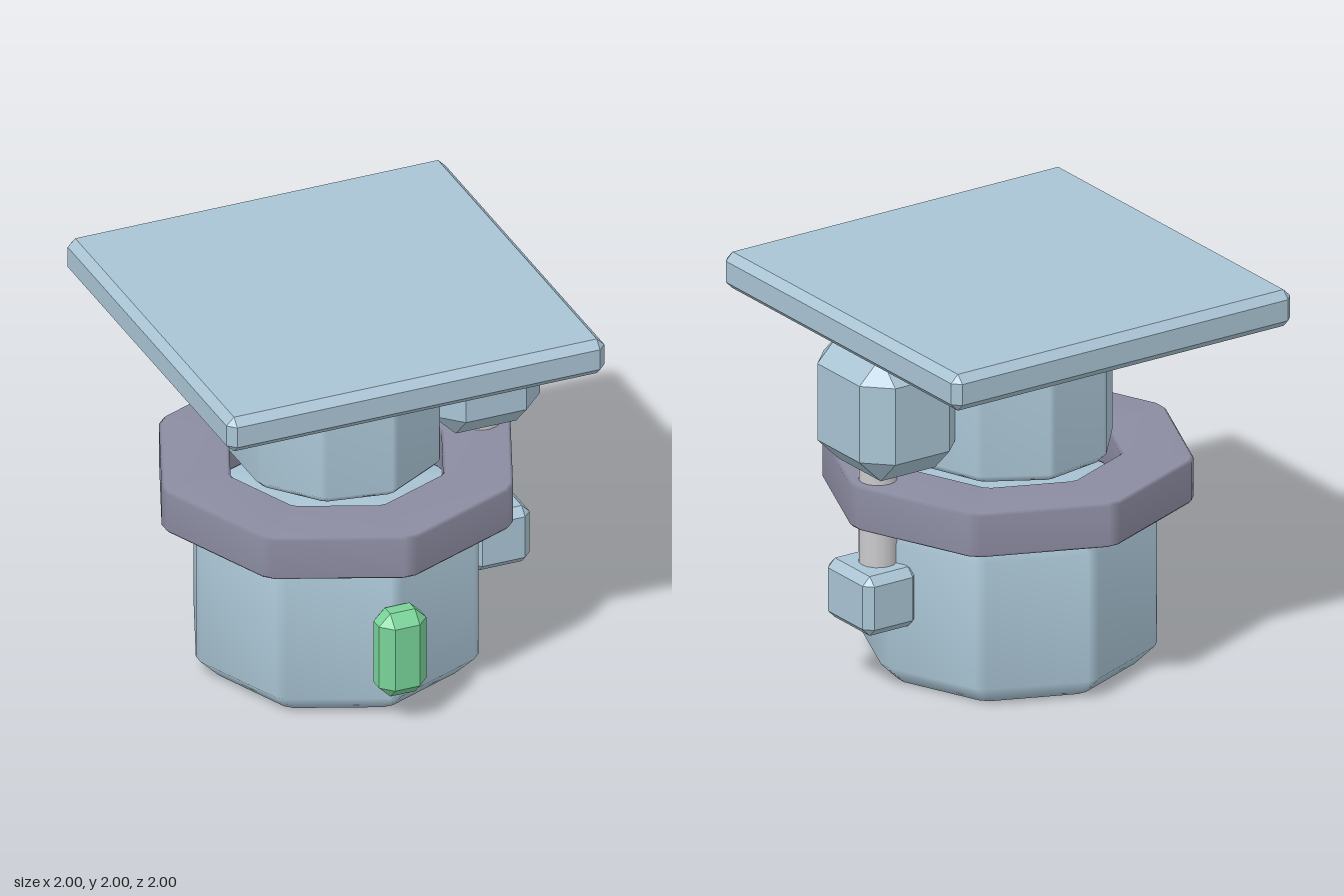
import * as THREE from 'three';
import { mergeVertices } from 'three/addons/utils/BufferGeometryUtils.js';
import { ConvexGeometry } from 'three/addons/geometries/ConvexGeometry.js';

const mat = (name, color) => Object.assign(new THREE.MeshStandardMaterial({ color }), { name });

// Prism with n sides and slightly cut corners, turned from an [r, y] profile;
// one corner points to +x. Area-weighted normals keep the faces flat and the bevels soft.
function prism(n, cut, profile) {
  const pts = profile.map(([r, y]) => new THREE.Vector2(r, y));
  let g = new THREE.LatheGeometry(pts, 2 * n);
  const p = g.attributes.position;
  for (let i = 0; i < p.count; i++) {
    const step = Math.floor(i / pts.length);
    const a = Math.PI / 2 + Math.floor(step / 2) * 2 * Math.PI / n + (step % 2 ? cut : -cut);
    const [r, y] = profile[i % pts.length];
    p.setXYZ(i, r * Math.sin(a), y, r * Math.cos(a));
  }
  g.deleteAttribute('normal');
  g.deleteAttribute('uv');
  g = mergeVertices(g, 1e-4);
  g.computeVertexNormals();
  return g;
}

// Box with every edge chamfered by c
function chamferBox(w, h, d, c) {
  const pts = [];
  for (const x of [-w / 2, w / 2])
    for (const y of [-h / 2, h / 2])
      for (const z of [-d / 2, d / 2]) {
        const ix = x - Math.sign(x) * c, iy = y - Math.sign(y) * c, iz = z - Math.sign(z) * c;
        pts.push(new THREE.Vector3(x, iy, iz), new THREE.Vector3(ix, y, iz), new THREE.Vector3(ix, iy, z));
      }
  return new ConvexGeometry(pts);
}

export function createModel() {
  const model = new THREE.Group();
  const blue = mat('paleBlue', 0xa9c4d4);
  const slate = mat('slateGrey', 0x8c8ca2);
  const green = mat('green', 0x78d298);
  const steel = mat('steel', 0xcacace);

  const add = (name, geometry, material, x = 0, y = 0, z = 0) => {
    const m = new THREE.Mesh(geometry, material);
    m.name = name;
    m.position.set(x, y, z);
    model.add(m);
  };

  // Eight-sided base with wide bevels
  add('base', prism(8, 0.04, [[0, 0], [0.63, 0], [0.73, 0.1], [0.73, 0.76], [0.63, 0.86], [0, 0.86]]), blue);

  // Eight-sided collar with an open middle
  add('collar', prism(8, 0.035, [
    [0.565, 0.86], [0.895, 0.86], [0.91, 0.875], [0.91, 1.075], [0.895, 1.09],
    [0.565, 1.09], [0.55, 1.075], [0.55, 0.875], [0.565, 0.86],
  ]), slate);

  // Nine-sided upper drum
  add('drum', prism(9, 0.03, [[0, 1.085], [0.48, 1.085], [0.52, 1.125], [0.52, 1.78], [0.48, 1.82], [0, 1.82]]), blue);

  // Square top plate
  add('topPlate', chamferBox(2, 0.19, 2, 0.04), blue, 0, 1.905, 0);

  // Side tank, its pipe and the lower fitting
  add('sideTank', chamferBox(0.57, 0.65, 0.61, 0.125), blue, 0.715, 1.485, 0);
  add('pipe', new THREE.CylinderGeometry(0.095, 0.095, 0.8, 16), steel, 0.767, 0.9, 0);
  add('pipeFitting', chamferBox(0.31, 0.31, 0.38, 0.042), blue, 0.805, 0.505, 0);

  // Indicator light on the front
  add('indicatorLight', chamferBox(0.25, 0.46, 0.186, 0.06), green, 0, 0.39, 0.773);

  return model;
}
